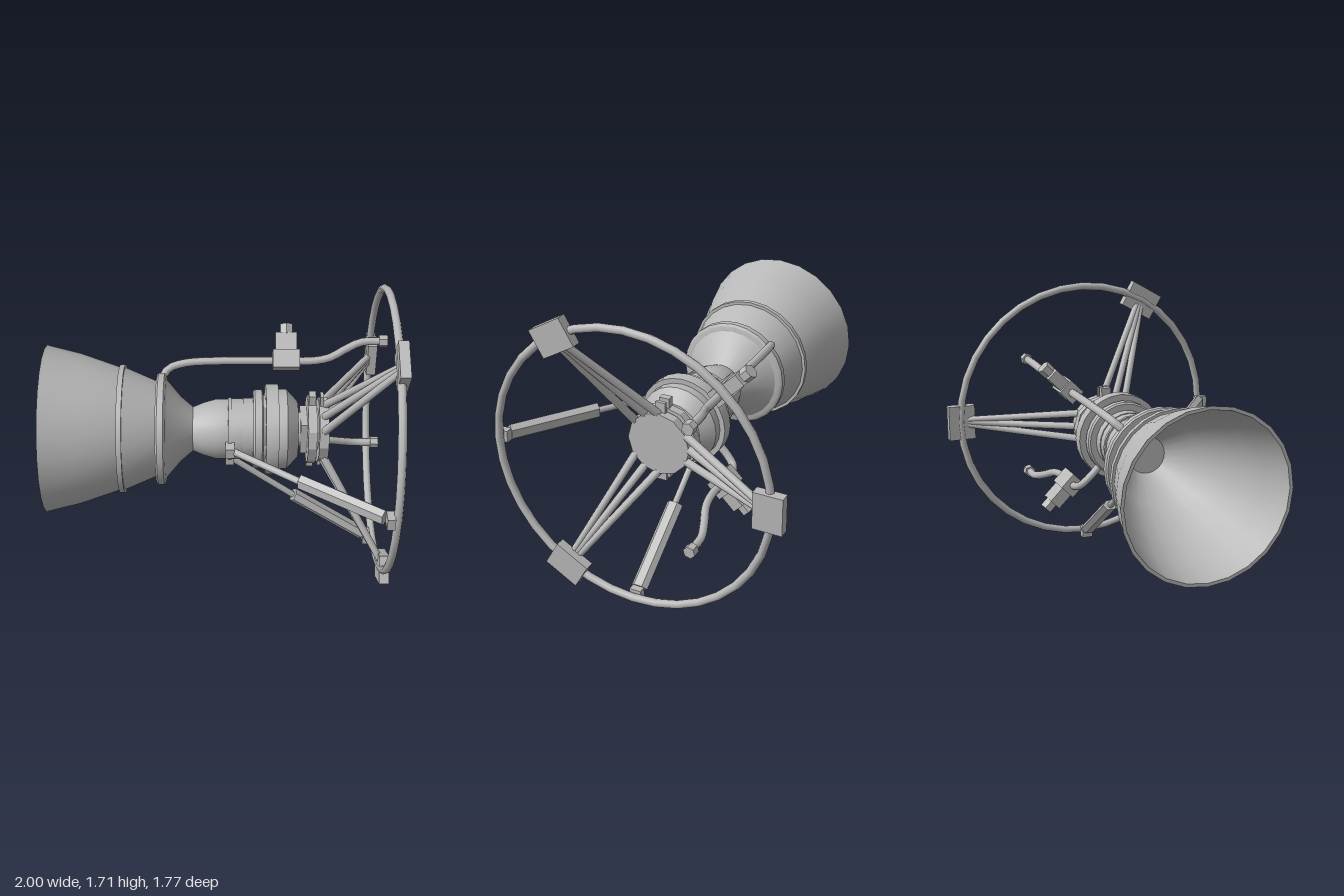
import * as THREE from 'three';
import { toCreasedNormals } from 'three/addons/utils/BufferGeometryUtils.js';

const metal = new THREE.MeshStandardMaterial({ color: 0xb8b8b8, side: THREE.DoubleSide });
metal.name = 'greyMetal';

const V = (x, y, z = 0) => new THREE.Vector3(x, y, z);

function add(parent, name, geometry) {
  const mesh = new THREE.Mesh(geometry, metal);
  mesh.name = name;
  parent.add(mesh);
  return mesh;
}

// Box given by its limits along the engine (x), outward (y) and its full width (z)
function block(parent, name, x0, x1, y0, y1, w) {
  const mesh = add(parent, name, new THREE.BoxGeometry(x1 - x0, y1 - y0, w));
  mesh.position.set((x0 + x1) / 2, (y0 + y1) / 2, 0);
  return mesh;
}

// Straight round or faceted bar between two points
function bar(parent, name, a, b, r0, r1 = r0, sides = 8) {
  let geo = new THREE.CylinderGeometry(r1, r0, a.distanceTo(b), sides);
  geo = toCreasedNormals(geo, 0.9);
  const mesh = add(parent, name, geo);
  mesh.position.copy(a).add(b).multiplyScalar(0.5);
  mesh.quaternion.setFromUnitVectors(V(0, 1), b.clone().sub(a).normalize());
  return mesh;
}

// Turned part along x from [x, radius] pairs
function turned(parent, name, profile, sides = 24) {
  const geo = new THREE.LatheGeometry(profile.map(([x, r]) => new THREE.Vector2(r, x)), sides);
  geo.rotateZ(-Math.PI / 2);
  return add(parent, name, toCreasedNormals(geo, 0.5));
}

// Group whose +y points outward from the engine axis at the given angle
function radial(parent, name, angle) {
  const g = new THREE.Group();
  g.name = name;
  g.rotation.x = angle;
  parent.add(g);
  return g;
}

function pipe(parent, name, points, r) {
  const curve = new THREE.CatmullRomCurve3(points.map(([x, y]) => V(x, y)), false, 'centripetal');
  return add(parent, name, new THREE.TubeGeometry(curve, 32, r, 8));
}

export function createModel() {
  const model = new THREE.Group();
  model.name = 'rocketEngine';
  const engine = new THREE.Group();
  engine.name = 'engine';
  engine.position.set(0, 0.865, 0.02);
  model.add(engine);

  // Bell nozzle with an open, hollow mouth
  turned(engine, 'nozzle', [
    [-0.15, 0.11], [-0.33, 0.25], [-0.58, 0.35], [-0.8, 0.422], [-1, 0.472],
    [-1, 0.492], [-0.985, 0.486], [-0.8, 0.44], [-0.575, 0.362],
    [-0.575, 0.378], [-0.545, 0.378], [-0.545, 0.36], [-0.36, 0.28],
    [-0.36, 0.32], [-0.35, 0.328], [-0.315, 0.328], [-0.305, 0.315],
    [-0.3, 0.285], [-0.22, 0.19], [-0.15, 0.13],
  ]);

  // Combustion chamber with its flanges
  turned(engine, 'chamber', [
    [-0.15, 0], [-0.15, 0.13], [-0.09, 0.155], [-0.02, 0.175], [0.055, 0.175],
    [0.055, 0.185], [0.075, 0.185], [0.075, 0.178], [0.14, 0.178], [0.14, 0.183],
    [0.2, 0.183], [0.2, 0.222], [0.21, 0.232], [0.25, 0.232], [0.258, 0.222],
    [0.258, 0.2], [0.272, 0.2], [0.272, 0.265], [0.345, 0.265], [0.345, 0.235],
    [0.395, 0.235], [0.46, 0.165], [0.46, 0.1], [0.53, 0.1], [0.53, 0],
  ]);

  // Mounting plates at the forward end
  turned(engine, 'mountPlateRear', [[0.515, 0], [0.515, 0.2], [0.565, 0.2], [0.565, 0]], 12);
  turned(engine, 'mountPlateFront', [[0.565, 0], [0.565, 0.12], [0.58, 0.12], [0.58, 0.19],
    [0.635, 0.19], [0.635, 0]], 12);
  for (const a of [0, Math.PI]) {
    const lug = radial(engine, 'mountLug', a);
    block(lug, 'lugRear', 0.52, 0.56, 0.15, 0.25, 0.06);
    block(lug, 'lugFront', 0.585, 0.605, 0.15, 0.245, 0.06);
  }
  block(engine, 'gimbalBlock', 0.475, 0.52, -0.1, 0.1, 0.2);

  // Thrust ring
  const ringGeo = new THREE.TorusGeometry(0.824, 0.024, 8, 36);
  ringGeo.rotateY(Math.PI / 2);
  add(engine, 'thrustRing', ringGeo).position.x = 0.96;

  // Three pads, each carried by three struts
  for (const a of [-Math.PI / 2, Math.PI / 6, Math.PI * 5 / 6]) {
    const g = radial(engine, 'padAssembly', a);
    block(g, 'pad', 0.942, 1, 0.735, 0.902, 0.218);
    for (const k of [-1, 0, 1]) {
      bar(g, 'strut', V(0.61, 0.155 + (k ? 0 : 0.02), k * 0.082), V(0.96, 0.78, k * 0.016), 0.024, 0.02);
    }
  }

  // Two steering actuators, outward to the side and below
  for (const a of [Math.PI / 2, Math.PI]) {
    const g = radial(engine, 'actuator', a);
    block(g, 'chamberBracket', 0.04, 0.09, 0.165, 0.245, 0.06);
    bar(g, 'actuatorRod', V(0.07, 0.21), V(0.5, 0.53), 0.02);
    const barrel = bar(g, 'actuatorBarrel', V(0.455, 0.495), V(0.89, 0.8), 0.05, 0.05, 6);
    barrel.scale.x = 0.72;
    block(g, 'ringBracket', 0.898, 0.942, 0.785, 0.865, 0.07);
  }

  // Two propellant lines with valves: the upper feeds the nozzle, the lower the chamber
  const tail = [[0.4, 0.41], [0.56, 0.41], [0.66, 0.43], [0.76, 0.485], [0.85, 0.525], [0.98, 0.53]];
  const lines = [
    ['nozzleLine', -Math.PI / 4, [[-0.33, 0.31], [-0.3, 0.36], [-0.2, 0.395], [0, 0.408], [0.25, 0.41]]],
    ['chamberLine', -Math.PI * 3 / 4, [[0.23, 0.21], [0.23, 0.32], [0.25, 0.385], [0.3, 0.41]]],
  ];
  for (const [name, angle, start] of lines) {
    const g = radial(engine, name, angle);
    pipe(g, 'pipe', [...start, ...tail], 0.024);
    bar(g, 'endFitting', V(0.95, 0.53), V(1, 0.53), 0.036, 0.036, 6);
    block(g, 'valveBody', 0.318, 0.478, 0.36, 0.47, 0.1);
    block(g, 'valveHousing', 0.335, 0.462, 0.46, 0.575, 0.075);
    bar(g, 'valveKnob', V(0.4, 0.57), V(0.4, 0.63), 0.042, 0.042, 6);
  }

  return model;
}
